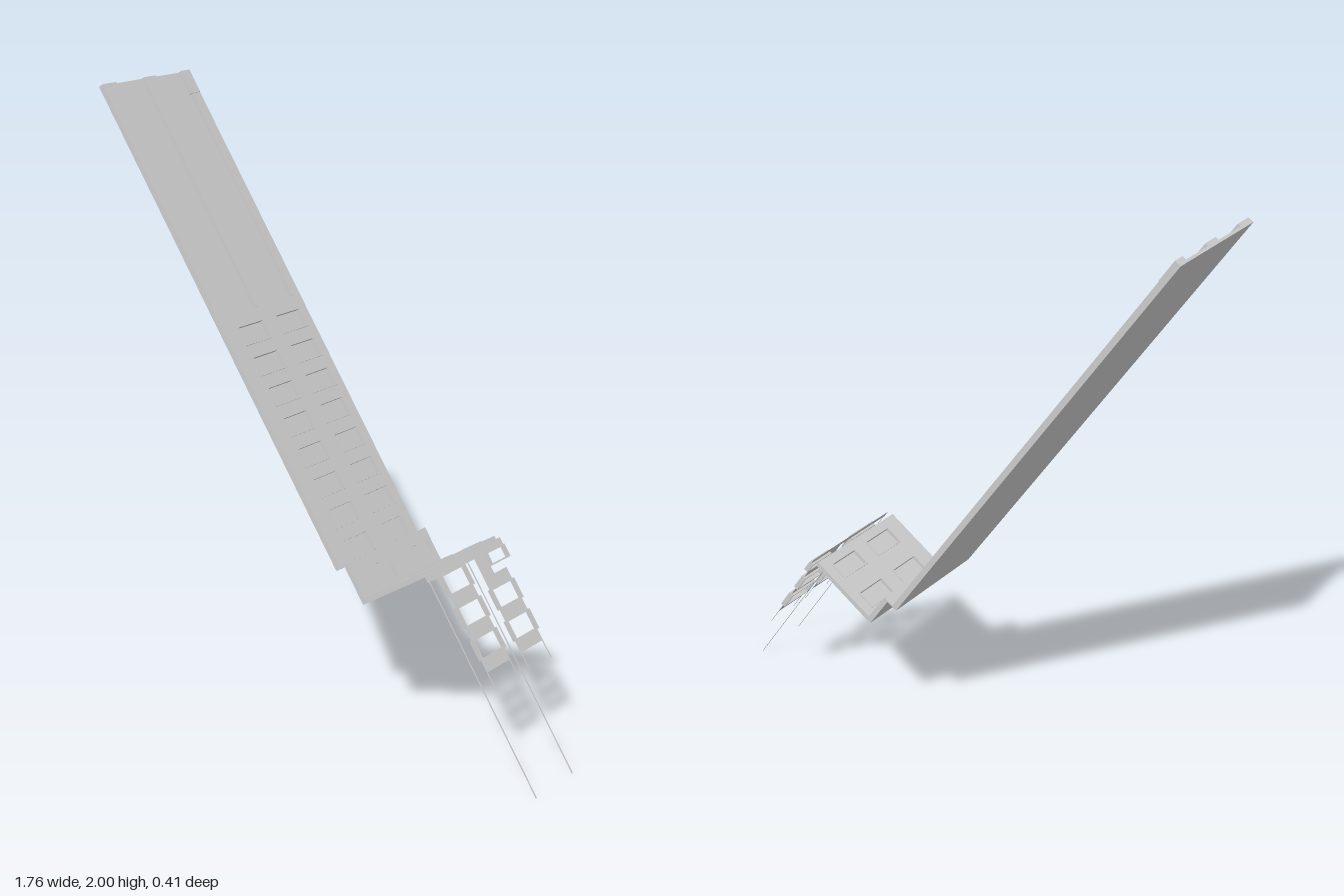
import * as THREE from 'three';

const mat = new THREE.MeshStandardMaterial({ color: 0xcccccc, flatShading: true, side: THREE.DoubleSide });
const BAYS = [[-0.168, -0.042], [0.016, 0.143]]; // z ranges of the two window columns
const PITCH = 0.1097, WIN = 0.07;

function add(group, name, geometry) {
  const mesh = new THREE.Mesh(geometry, mat);
  mesh.name = name;
  group.add(mesh);
  return mesh;
}

// Box by its limits: s along the wall, n outward, z across
function block(group, name, s0, s1, n0, n1, z0, z1) {
  const g = new THREE.BoxGeometry(s1 - s0, n1 - n0, z1 - z0);
  g.translate((s0 + s1) / 2, (n0 + n1) / 2, (z0 + z1) / 2);
  return add(group, name, g);
}

// Paper-thin strip lying in the wall plane
function strip(group, name, s0, s1, z0, z1, n = 0) {
  const g = new THREE.PlaneGeometry(s1 - s0, z1 - z0);
  g.rotateX(-Math.PI / 2);
  g.translate((s0 + s1) / 2, n, (z0 + z1) / 2);
  return add(group, name, g);
}

// Four thin bars around an opening
function windowFrame(group, s0, s1, z0, z1, n0, n1, t = 0.005) {
  const frame = new THREE.Group();
  frame.name = 'windowFrame';
  block(frame, 'jamb', s0, s1, n0, n1, z0, z0 + t);
  block(frame, 'jamb', s0, s1, n0, n1, z1 - t, z1);
  block(frame, 'lintel', s0, s0 + t, n0, n1, z0 + t, z1 - t);
  block(frame, 'sill', s1 - t, s1, n0, n1, z0 + t, z1 - t);
  group.add(frame);
}

// Raised layer cut from an outline (s, z) with rectangular holes
function facing(group, name, outline, holes, n0, n1) {
  const shape = new THREE.Shape(outline.map(p => new THREE.Vector2(...p)));
  for (const [s0, s1, z0, z1] of holes) {
    shape.holes.push(new THREE.Path([[s0, z0], [s0, z1], [s1, z1], [s1, z0]].map(p => new THREE.Vector2(...p))));
  }
  const g = new THREE.ExtrudeGeometry(shape, { depth: n1 - n0, bevelEnabled: false });
  g.rotateX(Math.PI / 2);
  g.translate(0, n1, 0);
  return add(group, name, g);
}

// Group whose local x runs from the first point to the second
function wallGroup(parent, name, x0, y0, x1, y1) {
  const g = new THREE.Group();
  g.name = name;
  g.position.set(x0, y0, 0);
  g.rotation.z = Math.atan2(y1 - y0, x1 - x0);
  parent.add(g);
  return g;
}

const rect = (l, z0 = -0.205, z1 = 0.205) => [[0, z0], [l, z0], [l, z1], [0, z1]];

export function createModel() {
  const model = new THREE.Group();
  model.name = 'facade';

  // Long wall: backing, ribbed facing with open channels at the top, windows below
  const L = 1.746, D = 0.02;
  const main = wallGroup(model, 'longWall', -0.878, 1.99, 0.108, 0.549);
  block(main, 'backing', 0, L, 0, 0.009, -0.205, 0.205);
  const outline = [[0, 0.205], [L, 0.205], [L, -0.205], [0, -0.205]];
  const channelEnd = 0.855;
  for (const [z0, z1] of BAYS) outline.push([0, z0], [channelEnd, z0], [channelEnd, z1], [0, z1]);
  const holes = [];
  for (const [z0, z1] of BAYS) {
    for (let k = 0; k < 8; k++) {
      const s = 0.899 + k * PITCH;
      holes.push([s, s + WIN, z0, z1]);
      windowFrame(main, s, s + WIN, z0, z1, 0.009, D + 0.004);
    }
    // Side bars of the topmost opening
    for (const z of [z0, z1 - 0.005]) block(main, 'jamb', 0.785, channelEnd, 0.009, D + 0.003, z, z + 0.005);
  }
  facing(main, 'ribsAndSpandrels', outline, holes, 0.009, D);
  block(main, 'cornerBlock', 0, 0.085, 0.009, D + 0.002, -0.205, -0.163);

  // Thin return joining the long wall to the short wall
  const link = wallGroup(model, 'returnWall', 0.112, 0.55, 0.158, 0.58);
  block(link, 'returnPanel', 0, 0.054, 0, 0.005, -0.205, 0.205);

  // Short wall with one wide window and one small one
  const short = wallGroup(model, 'shortWall', 0.143, 0.57, 0.216, 0.463);
  block(short, 'backing', 0, 0.13, 0, 0.008, -0.205, 0.205);
  const shortHoles = [[0.028, 0.1, ...BAYS[1]], [0.03, 0.075, -0.19, -0.1]];
  facing(short, 'facing', rect(0.13), shortHoles, 0.008, 0.018);
  for (const h of shortHoles) windowFrame(short, ...h, 0.008, 0.021);

  // Side wall at right angles, with four windows
  const side = wallGroup(model, 'sideWall', 0.219, 0.462, 0.442, 0.607);
  block(side, 'backing', 0, 0.266, 0, 0.008, -0.205, 0.205);
  const sideHoles = [];
  for (const s of [0.034, 0.168]) for (const bay of BAYS) sideHoles.push([s, s + 0.069, ...bay]);
  facing(side, 'facing', rect(0.266), sideHoles, 0.008, 0.018);
  for (const h of sideHoles) windowFrame(side, ...h, 0.008, 0.021);

  // Open lattice continuing the facade beyond the side wall
  const lattice = wallGroup(model, 'openLattice', 0.4537, 0.623, 0.88, 0);
  strip(lattice, 'topBand', 0, 0.026, -0.205, 0.205);
  BAYS.forEach(([z0, z1], column) => {
    for (let k = 0; k < 3; k++) {
      const s = 0.024 + k * PITCH;
      if (k > 0 || column === 1) {
        windowFrame(lattice, s, s + WIN, z0, z1, -0.008, 0.009);
      } else {
        strip(lattice, 'panel', s, s + WIN, -0.1, z1);
        windowFrame(lattice, s, s + 0.045, -0.2, -0.1, -0.008, 0.009);
      }
      strip(lattice, 'spandrel', s + WIN, s + PITCH, z0, z1);
    }
    // Loose side bars at the bottom
    for (const z of [z0, z1 - 0.005]) strip(lattice, 'looseBar', 0.353, 0.415, z, z + 0.005);
  });
  for (const z of [0.195, -0.007]) strip(lattice, 'longThinBar', 0, 0.755, z - 0.003, z + 0.003);

  return model;
}
